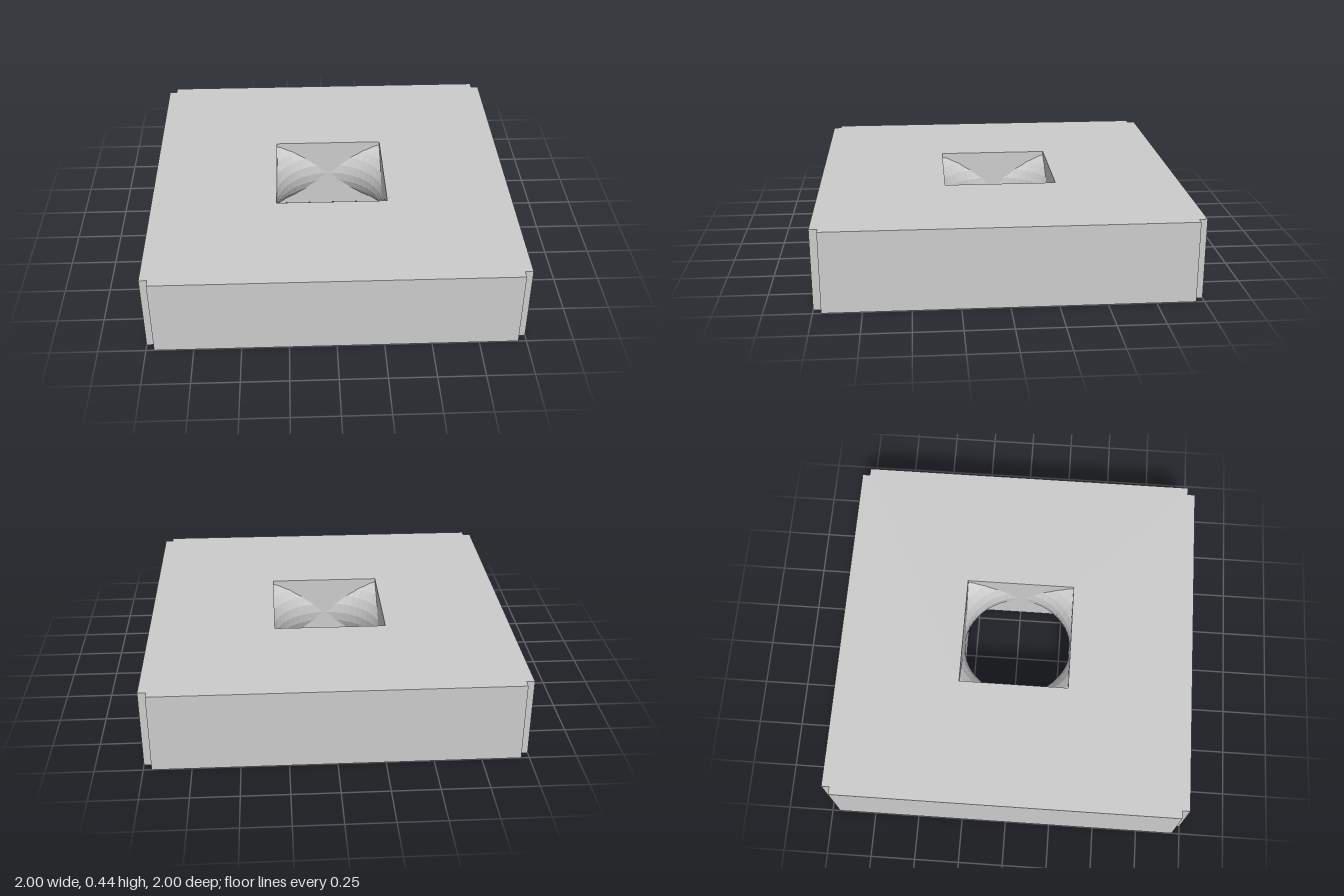
import * as THREE from 'three';

const HEIGHT = 0.435, HALF = 1, NOTCH = 0.043, HOLE = 0.307;

export function createModel() {
  const group = new THREE.Group();
  const material = new THREE.MeshStandardMaterial({ color: 0xcccccc, flatShading: true });

  // Square block with a small notch at each vertical corner
  const inner = HALF - NOTCH;
  const corner = [[HALF, inner], [inner, inner], [inner, HALF]];
  const points = [];
  for (let i = 0; i < 4; i++) {
    const c = Math.round(Math.cos(i * Math.PI / 2)), s = Math.round(Math.sin(i * Math.PI / 2));
    for (const [x, y] of corner) points.push(new THREE.Vector2(x * c - y * s, x * s + y * c));
  }
  const outline = new THREE.Shape(points);

  // Square opening through the middle
  const opening = [[-1, -1], [-1, 1], [1, 1], [1, -1]];
  outline.holes.push(new THREE.Path(opening.map(([x, y]) => new THREE.Vector2(x * HOLE, y * HOLE))));
  const blockGeometry = new THREE.ExtrudeGeometry(outline, { depth: HEIGHT, bevelEnabled: false });
  blockGeometry.rotateX(-Math.PI / 2);
  const block = new THREE.Mesh(blockGeometry, material);
  block.name = 'block';
  group.add(block);

  // Ring set inside the block, rounding the corners of the opening
  const tube = HEIGHT / 2 - 0.001;
  const ringGeometry = new THREE.TorusGeometry(HOLE + tube, tube, 24, 48);
  ringGeometry.rotateX(Math.PI / 2);
  const ring = new THREE.Mesh(ringGeometry, material);
  ring.name = 'innerRing';
  ring.position.y = HEIGHT / 2;
  group.add(ring);

  return group;
}
